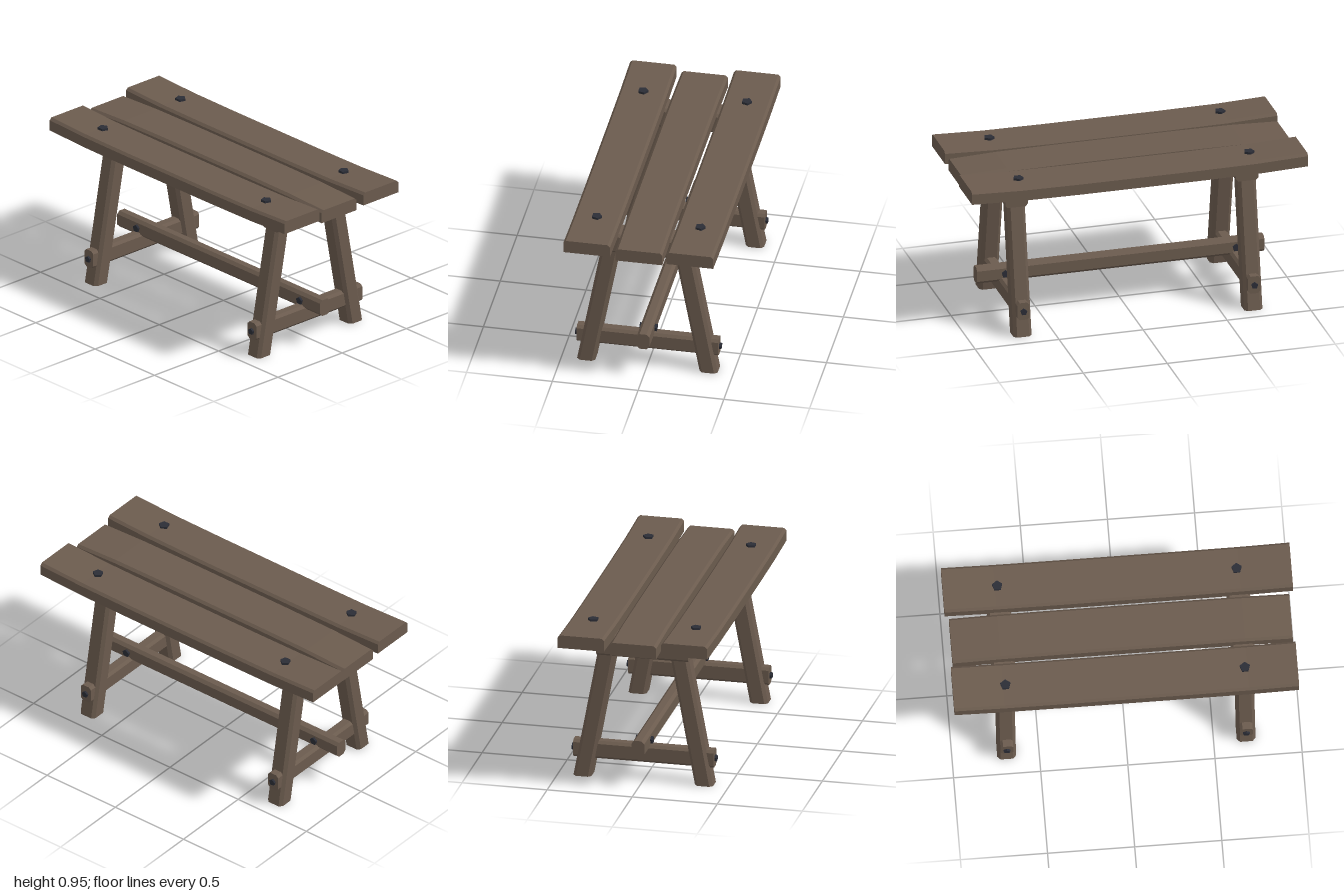
import * as THREE from 'three';

const wood = new THREE.MeshStandardMaterial({ color: 0x6b5b4e });
wood.name = 'weatheredWood';
const iron = new THREE.MeshStandardMaterial({ color: 0x2b2d36 });
iron.name = 'darkIron';

// Flat-faced skin over convex rings of [x, y, z], capped at both ends
function loft(rings) {
  const pos = [];
  const tri = (a, b, c) => pos.push(...a, ...b, ...c);
  const n = rings[0].length;
  for (let r = 0; r < rings.length - 1; r++) {
    const a = rings[r], b = rings[r + 1];
    for (let i = 0; i < n; i++) {
      const j = (i + 1) % n;
      tri(a[i], a[j], b[j]);
      tri(a[i], b[j], b[i]);
    }
  }
  const first = rings[0], last = rings[rings.length - 1];
  for (let i = 1; i < n - 1; i++) {
    tri(first[0], first[i + 1], first[i]);
    tri(last[0], last[i], last[i + 1]);
  }
  const g = new THREE.BufferGeometry();
  g.setAttribute('position', new THREE.Float32BufferAttribute(pos, 3));
  g.computeVertexNormals();
  return g;
}

// Counter-clockwise rectangle with chamfered corners, half sizes a and b
const chamfered = (a, b, c) => [
  [a, -b + c], [a, b - c], [a - c, b], [-a + c, b],
  [-a, b - c], [-a, -b + c], [-a + c, -b], [a - c, -b],
];

export function createModel() {
  const model = new THREE.Group();
  model.name = 'trestleBench';

  const add = (name, geometry, material = wood) => {
    const mesh = new THREE.Mesh(geometry, material);
    mesh.name = name;
    model.add(mesh);
  };

  // Seat planks: chamfered top edges, ends bending gently up or down
  const plank = (name, x0, x1, z, bend) => {
    const w = 0.136, c = 0.014, bottom = 0.86, top = 0.937;
    const section = [[bottom, -w], [top - c, -w], [top, -w + c], [top, w - c], [top - c, w], [bottom, w]];
    const stations = [[x0, 1], [-0.7, 0.2], [-0.35, 0], [0.35, 0], [0.7, 0.2], [x1, 1]];
    add(name, loft(stations.map(([x, k]) => section.map(([y, v]) => [x, y + bend * k, z + v]))));
  };
  plank('frontPlank', -0.99, 0.988, 0.302, 0.014);
  plank('middlePlank', -0.977, 0.975, 0, -0.014);
  plank('backPlank', -1, 1, -0.302, 0.014);

  // Long stretcher joining the two trestles
  const rail = chamfered(0.049, 0.037, 0.017);
  add('longStretcher', loft([-0.855, 0.855].map((x) => rail.map(([y, z]) => [x, 0.239 + y, z]))));

  // Bolt head with five sides, axis along y or z
  const bolt = (name, r, h, x, y, z, alongZ) => {
    const g = new THREE.CylinderGeometry(r, r, h, 5).toNonIndexed();
    g.computeVertexNormals();
    g.rotateY(Math.PI);
    if (alongZ) g.rotateX(Math.PI / 2);
    g.translate(x, y, z);
    add(name, g, iron);
  };

  for (const side of [-1, 1]) {
    const x = side * 0.687;
    const tag = side > 0 ? 'left' : 'right';

    // Beam under the seat and lower cross rail
    const crossBar = (name, section, y, halfLength) =>
      add(name, loft([-halfLength, halfLength].map((z) => section.map(([u, v]) => [x + u, y + v, z]))));
    crossBar(tag + 'SeatBeam', chamfered(0.067, 0.062, 0.015), 0.813, 0.27);
    crossBar(tag + 'CrossRail', chamfered(0.037, 0.053, 0.015), 0.161, 0.413);

    for (const face of [-1, 1]) {
      const end = tag + (face > 0 ? 'Front' : 'Back');
      // Splayed leg, cut level at the floor
      const legSection = chamfered(0.053, 0.054, 0.018);
      const heights = [[0, 0.357], [0.8, 0.208]];
      add(end + 'Leg', loft(heights.map(([y, z]) => legSection.map(([v, u]) => [x + u, y, face * z + v]))));

      bolt(end + 'SeatBolt', 0.031, 0.03, x, 0.938, face * 0.302, false);
      bolt(end + 'RailBolt', 0.02, 0.03, x, 0.16, face * 0.411, true);
      bolt(end + 'StretcherBolt', 0.023, 0.03, x, 0.239, face * 0.035, true);
    }
  }
  return model;
}
